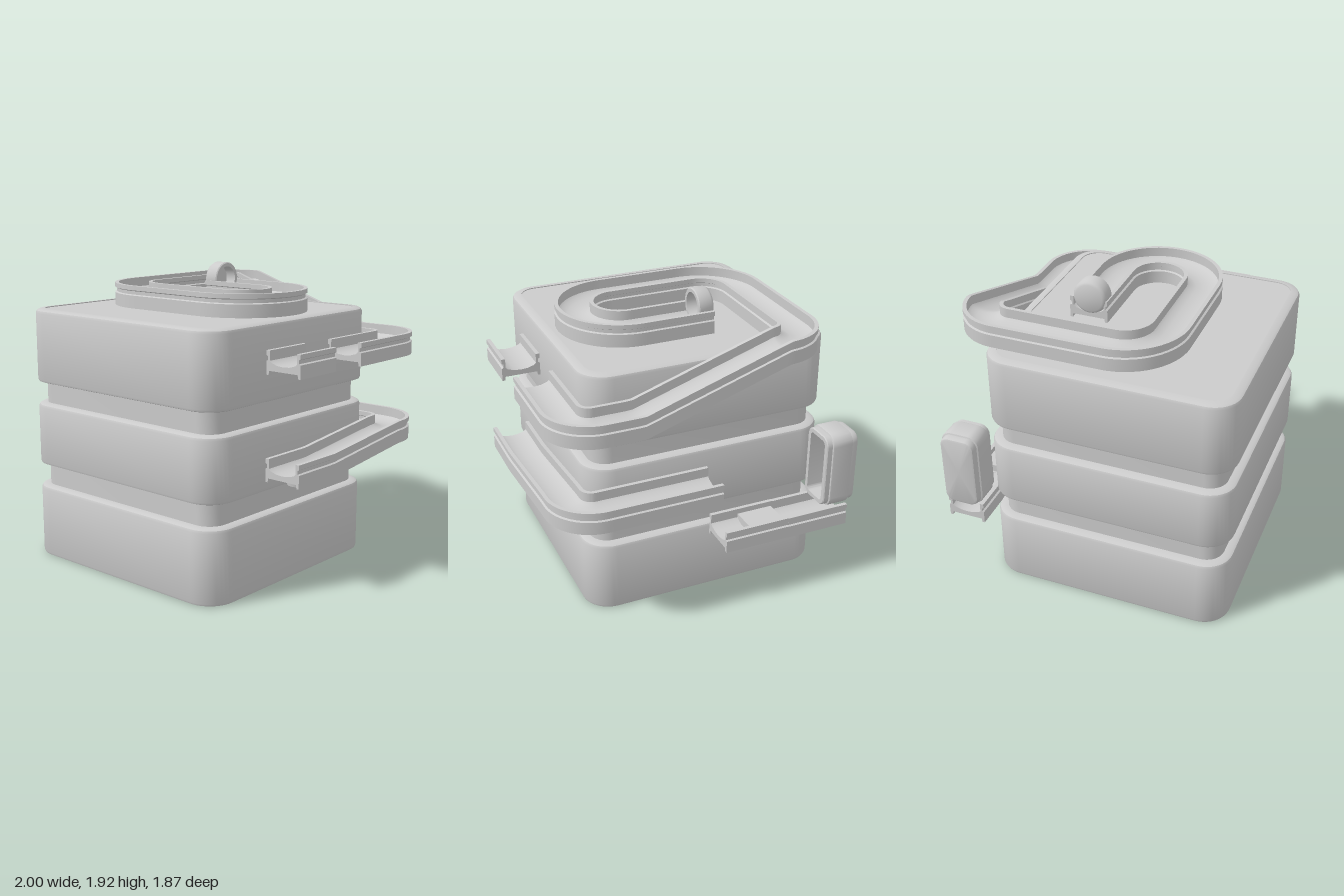
import * as THREE from 'three';
import { toCreasedNormals } from 'three/addons/utils/BufferGeometryUtils.js';

const V = (x, y, z) => new THREE.Vector3(x, y, z);
const material = new THREE.MeshStandardMaterial({ color: 0xcccccc });

// Skin a list of closed rings; optional triangles close the two ends
function loft(rings, caps = []) {
  const pos = [];
  const tri = (...pts) => pts.forEach(p => pos.push(p.x, p.y, p.z));
  for (let i = 0; i < rings.length - 1; i++) {
    const n = rings[i].length;
    for (let j = 0; j < n; j++) {
      const a = rings[i][j], b = rings[i][(j + 1) % n];
      const c = rings[i + 1][(j + 1) % n], d = rings[i + 1][j];
      tri(a, c, b);
      tri(a, d, c);
    }
  }
  const first = rings[0], last = rings[rings.length - 1];
  caps.forEach(([a, b, c]) => {
    tri(first[a], first[b], first[c]);
    tri(last[a], last[c], last[b]);
  });
  const g = new THREE.BufferGeometry();
  g.setAttribute('position', new THREE.Float32BufferAttribute(pos, 3));
  return toCreasedNormals(g, 0.6);
}

// Horizontal rounded rectangle; inset null collapses it to its centre
function ring(hx, hz, r, inset, y) {
  const pts = [];
  for (let q = 0; q < 4; q++) {
    const sx = q === 0 || q === 3 ? 1 : -1, sz = q < 2 ? 1 : -1;
    for (let k = 0; k <= 10; k++) {
      const t = (q + k / 10) * Math.PI / 2, rr = r - inset;
      pts.push(inset === null ? V(0, y, 0)
        : V(sx * (hx - r) + rr * Math.cos(t), y, sz * (hz - r) + rr * Math.sin(t)));
    }
  }
  return pts;
}
const stack = (hx, hz, r, profile) => loft(profile.map(([i, y]) => ring(hx, hz, r, i, y)));

// Channel section, right half from bottom centre to top centre, then mirrored
const half = [[0, -0.048], [0.105, -0.048], [0.108, -0.073], [0.125, -0.073], [0.125, 0.01], [0.113, 0.016],
  [0.113, 0.038], [0.125, 0.044], [0.125, 0.073], [0.1, 0.073], [0.1, 0.012], [0.085, 0], [0.045, -0.012], [0, -0.016]];
const section = [...half, ...half.slice(1, -1).reverse().map(([u, v]) => [-u, v])];
const sectionCaps = THREE.ShapeUtils.triangulateShape(section.map(p => new THREE.Vector2(...p)), []);

// Plan path of [x, z, cornerRadius] points with right-angle rounded corners
function planPath(points) {
  const out = [];
  const add = p => {
    if (!out.length || out[out.length - 1].distanceTo(p) > 1e-4) out.push(p);
  };
  const line = to => {
    const from = out[out.length - 1].clone();
    for (let k = 1; k <= 24; k++) add(from.clone().lerp(to, k / 24));
  };
  const P = points.map(([x, z]) => V(x, 0, z));
  add(P[0]);
  for (let i = 1; i < P.length - 1; i++) {
    const r = points[i][2];
    const d1 = P[i - 1].clone().sub(P[i]).setLength(r), d2 = P[i + 1].clone().sub(P[i]).setLength(r);
    const centre = P[i].clone().add(d1).add(d2);
    line(P[i].clone().add(d1));
    for (let k = 1; k <= 14; k++) {
      const t = k / 14 * Math.PI / 2;
      add(centre.clone().addScaledVector(d2, -Math.cos(t)).addScaledVector(d1, -Math.sin(t)));
    }
  }
  line(P[P.length - 1]);
  return out;
}

// Sweep the channel section along a plan path at height(x, z)
function track(points, height) {
  const path = planPath(points);
  const rings = path.map((p, i) => {
    const before = i ? p.clone().sub(path[i - 1]).normalize() : V(0, 0, 0);
    const after = i < path.length - 1 ? path[i + 1].clone().sub(p).normalize() : V(0, 0, 0);
    const side = before.add(after).normalize().cross(V(0, 1, 0));
    const y = height(p.x, p.z);
    return section.map(([u, v]) => V(p.x + side.x * u, y + v, p.z + side.z * u));
  });
  return loft(rings, sectionCaps);
}

// 0 before a, 1 after b, straight ramp between
const ramp = (t, a, b) => THREE.MathUtils.clamp((t - a) / (b - a), 0, 1);

export function createModel() {
  const model = new THREE.Group();
  model.name = 'marbleTower';
  const add = (name, geometry, x = 0, y = 0, z = 0) => {
    const m = new THREE.Mesh(geometry, material);
    m.name = name;
    m.position.set(x, y, z);
    model.add(m);
    return m;
  };

  // Tower: three rounded tiers with recessed necks and softly rounded rims
  const cx = -0.0925, cz = 0.135, hx = 0.8175, hz = 0.795, r = 0.18;
  const tower = (name, profile) => add(name, stack(hx, hz, r, profile), cx, 0, cz);
  const tier = (y0, y1) => [[null, y0 + 0.006], [0.06, y0 + 0.006], [0.06, y0], [0.018, y0], [0.005, y0 + 0.005],
    [0, y0 + 0.018], [0, y1 - 0.026], [0.007, y1 - 0.011], [0.022, y1 - 0.003], [0.06, y1],
    [0.06, y1 - 0.006], [null, y1 - 0.006]];
  tower('lowerTier', tier(0, 0.48));
  tower('lowerNeck', [[0.06, 0.475], [0.06, 0.63]]);
  tower('middleTier', tier(0.625, 1.035));
  tower('upperNeck', [[0.06, 1.03], [0.06, 1.18]]);
  tower('upperTier', tier(1.175, 1.652));

  // Upper track: spiral on the roof, then a ramp down along the back
  add('spiralTrack', track([
    [-0.25, -0.215], [0.51, -0.215, 0.289], [0.51, 0.363, 0.288], [-0.645, 0.363, 0.29],
    [-0.645, -0.808, 0.18], [0.875, -0.808, 0.18], [0.875, -0.13],
  ], (x, z) => 1.725 - (z < -0.6 || x > 0.8 ? 0.305 * ramp(x, -0.47, 0.46) : 0)));
  add('upperShortTrack', track([[0.875, 0.13], [0.875, 0.48]], () => 1.425));

  // Middle track: from the back, round the corner and down the side
  add('middleTrack', track([[-0.05, -0.808], [0.875, -0.808, 0.18], [0.875, 0.48]],
    (x, z) => 0.85 - 0.078 * ramp(z, -0.6, 0.12)));

  // Drain under the end of the middle track
  add('drainNeck', new THREE.CylinderGeometry(0.055, 0.055, 0.05, 32), 0.87, 0.715, 0.31);
  add('drainCap', new THREE.CylinderGeometry(0.075, 0.07, 0.03, 32), 0.87, 0.685, 0.31);

  // Lowest track: two straight lengths with a raised floor plate
  add('lowerTrackInner', track([[-0.08, -0.808], [-0.52, -0.808]], () => 0.492));
  add('lowerTrackOuter', track([[-0.52, -0.808], [-0.95, -0.808]], () => 0.49));
  add('floorPlate', new THREE.BoxGeometry(0.24, 0.05, 0.2), -0.39, 0.505, -0.808);

  // Cups lying on their sides, open towards +x
  const bucket = add('endBucket', stack(0.26, 0.13, 0.075, [[null, 0.19], [0.045, 0.19], [0.045, 0], [0.018, 0],
    [0.012, 0.006], [0.012, 0.038], [0.003, 0.041], [0, 0.05], [0, 0.17], [0.003, 0.179], [0.012, 0.183],
    [0.013, 0.212], [0.02, 0.225], [0.032, 0.23], [null, 0.23]]), -0.77, 0.823, -0.807);
  const cup = add('startCup', stack(0.11, 0.11, 0.11, [[null, 0.075], [0.028, 0.075], [0.028, 0], [0.006, 0],
    [0, 0.006], [0, 0.085], [0.008, 0.099], [0.022, 0.107], [null, 0.107]]), -0.155, 1.808, -0.207);
  bucket.rotation.z = cup.rotation.z = Math.PI / 2;

  return model;
}
